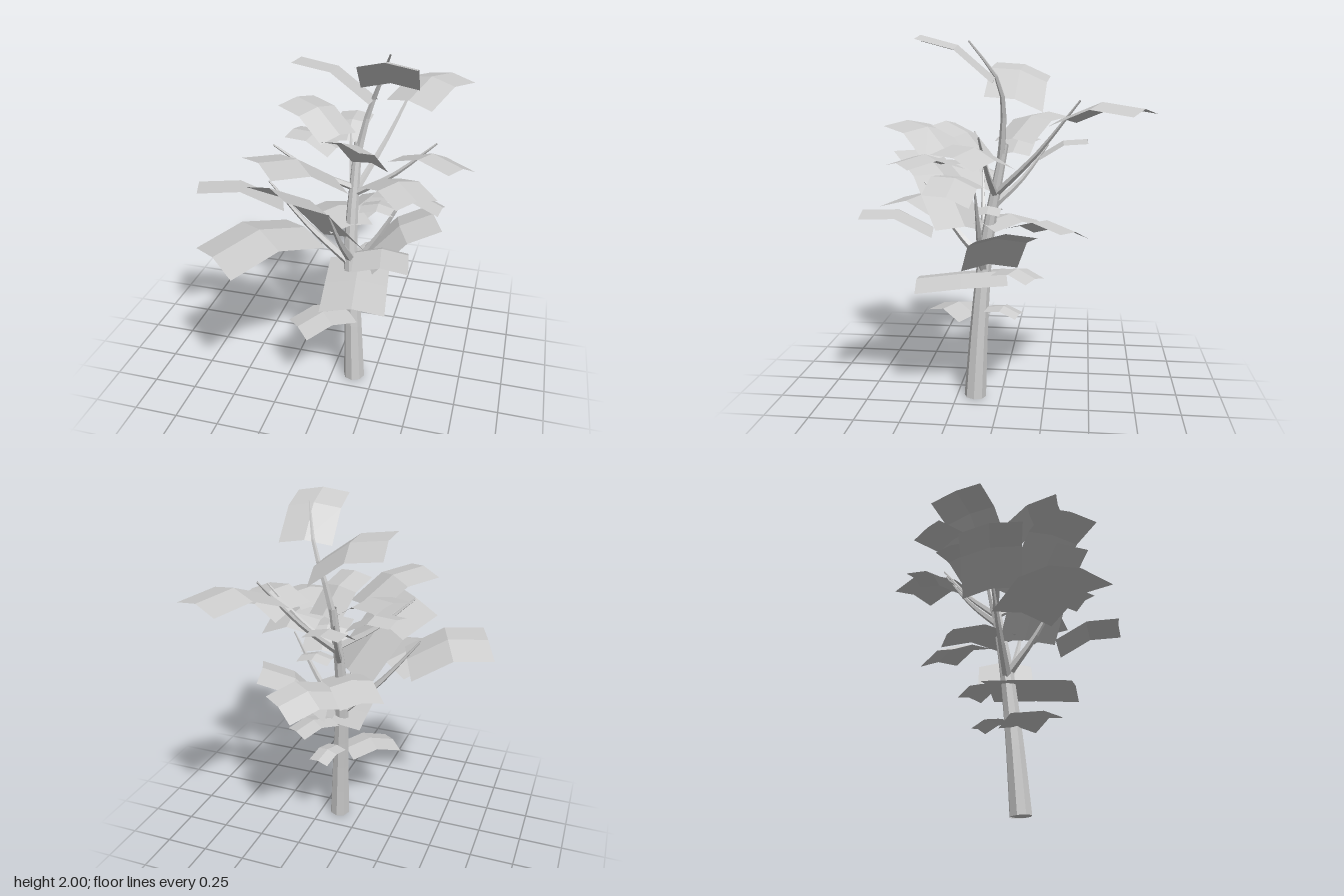
import * as THREE from 'three';

const UP = new THREE.Vector3(0, 1, 0);
const V = (x, y, z) => new THREE.Vector3(x, y, z);
const path = (...points) => new THREE.CatmullRomCurve3(points);
const material = new THREE.MeshStandardMaterial({ color: 0xcccccc, flatShading: true, side: THREE.DoubleSide });

// Tapered limb following a curve from radius r0 to r1
function limb(name, curve, r0, r1, sides, segments) {
  const geo = new THREE.TubeGeometry(curve, segments, 1, sides);
  const pos = geo.attributes.position;
  const v = new THREE.Vector3();
  for (let i = 0; i < pos.count; i++) {
    const t = Math.floor(i / (sides + 1)) / segments;
    const centre = curve.getPointAt(t);
    v.fromBufferAttribute(pos, i).sub(centre).multiplyScalar(r0 + (r1 - r0) * t).add(centre);
    pos.setXYZ(i, v.x, v.y, v.z);
  }
  geo.computeVertexNormals();
  const mesh = new THREE.Mesh(geo, material);
  mesh.name = name;
  return mesh;
}

// Foliage card: a 2 x 2 sheet from base to tip, arched in the middle, with drooping sides.
// Its width and arch follow from its length; roll tips it about its own axis.
function leaf(base, tip, roll = 0, arch = 0.13) {
  const along = tip.clone().sub(base);
  const length = along.length();
  const halfWidth = Math.min(0.19, length * 0.35);
  const side = along.normalize().clone().cross(UP).normalize().applyAxisAngle(along, roll);
  const normal = side.clone().cross(along);
  const middle = base.clone().lerp(tip, 0.5).addScaledVector(UP, length * arch);
  const spine = [tip, middle, base];
  const geo = new THREE.PlaneGeometry(2, 2, 2, 2);
  const pos = geo.attributes.position;
  for (let i = 0; i < pos.count; i++) {
    const u = (i % 3) - 1;
    const p = spine[Math.floor(i / 3)].clone()
      .addScaledVector(side, u * halfWidth)
      .addScaledVector(normal, -Math.abs(u) * halfWidth * 0.2);
    pos.setXYZ(i, p.x, p.y, p.z);
  }
  geo.computeVertexNormals();
  const mesh = new THREE.Mesh(geo, material);
  mesh.name = 'leaf';
  return mesh;
}

// Each leaf: base point, tip point, optional roll and arch
const LEAVES = [
  // crown
  [V(0.27, 1.79, 0.01), V(0.31, 2, 0.38)],
  [V(0.18, 1.68, -0.08), V(-0.235, 1.86, -0.1), 0.27],
  [V(0.31, 1.59, -0.33), V(0.5, 1.65, -0.725)],
  // upper ring
  [V(0.35, 1.4, 0), V(0.68, 1.43, 0.16), -0.25],
  [V(0.05, 1.37, 0.29), V(-0.235, 1.54, 0.59)],
  [V(-0.01, 1.46, -0.05), V(-0.31, 1.59, -0.235)],
  [V(-0.01, 1.37, -0.2), V(-0.01, 1.46, -0.46)],
  [V(0.19, 1.36, 0.05), V(0.09, 1.56, 0.3)],
  [V(0.28, 1.36, 0.23), V(0.505, 1.38, 0.475)],
  [V(-0.03, 1.38, -0.05), V(-0.29, 1.45, -0.1)],
  [V(0.26, 1.28, 0.18), V(0.6, 1.23, 0.21), -0.25],
  // middle ring
  [V(-0.28, 1.13, 0.14), V(-0.7, 1.25, 0.29), 0.25],
  [V(-0.12, 1.04, 0.26), V(-0.47, 1.04, 0.68)],
  [V(0.1, 0.98, 0.2), V(-0.22, 1.37, 0.5), 0.22],
  [V(0.17, 0.79, 0.06), V(0.52, 1.04, -0.07)],
  [V(0.05, 0.98, -0.1), V(0.26, 1, -0.41), -0.25],
  [V(0.32, 1.02, 0.33), V(0.38, 1.12, 0.69)],
  [V(0.14, 1.1, 0.05), V(0.33, 1.1, 0.05)],
  [V(0.1, 1, 0.1), V(-0.13, 0.98, -0.18)],
  // low shoots
  [V(0.12, 0.74, -0.03), V(0.19, 0.7, 0.46), 0, 0.01],
  [V(0.13, 0.75, 0), V(0.26, 0.74, -0.2)],
  [V(0.09, 0.47, 0.15), V(-0.14, 0.46, 0.37)],
  [V(0.12, 0.53, 0.07), V(0.17, 0.51, -0.11)],
];

// Each branch: where it leaves the trunk (0 foot, 1 top), end point
const BRANCHES = [
  [0.56, V(-0.35, 1.24, 0.16)],
  [0.58, V(0.06, 1.22, 0.43)],
  [0.54, V(0.39, 1.22, 0.1)],
  [0.83, V(0.335, 1.68, -0.42)],
  [0.79, V(0, 1.43, -0.25)],
  [0.83, V(0.53, 1.51, 0.06)],
  [0.85, V(-0.3, 1.47, 0.2)],
];

export function createModel() {
  const tree = new THREE.Group();
  tree.name = 'tree';

  // Leaning trunk, its flat foot and the thin leader above it
  const trunk = path(V(0.135, 0, 0.145), V(0.115, 0.45, 0.12), V(0.09, 0.9, 0.08), V(0.1, 1.44, -0.02));
  tree.add(limb('trunk', trunk, 0.062, 0.022, 8, 8));
  const foot = new THREE.Mesh(new THREE.CircleGeometry(0.06, 8), material);
  foot.name = 'trunkFoot';
  foot.rotation.x = Math.PI / 2;
  foot.position.set(0.135, 0.003, 0.145);
  tree.add(foot);
  const leader = path(V(0.1, 1.36, 0), V(0.15, 1.6, -0.02), V(0.21, 1.77, 0), V(0.29, 1.97, 0.14));
  tree.add(limb('leader', leader, 0.022, 0.005, 5, 6));

  // Branches sag slightly on their way up and are thinner higher on the trunk
  for (const [t, end] of BRANCHES) {
    const start = trunk.getPoint(t);
    const middle = start.clone().lerp(end, 0.5).addScaledVector(UP, -0.03);
    tree.add(limb('branch', path(start, middle, end), 0.04 - 0.023 * t, 0.005, 5, 6));
  }

  const foliage = new THREE.Group();
  foliage.name = 'foliage';
  for (const args of LEAVES) foliage.add(leaf(...args));
  tree.add(foliage);
  return tree;
}
